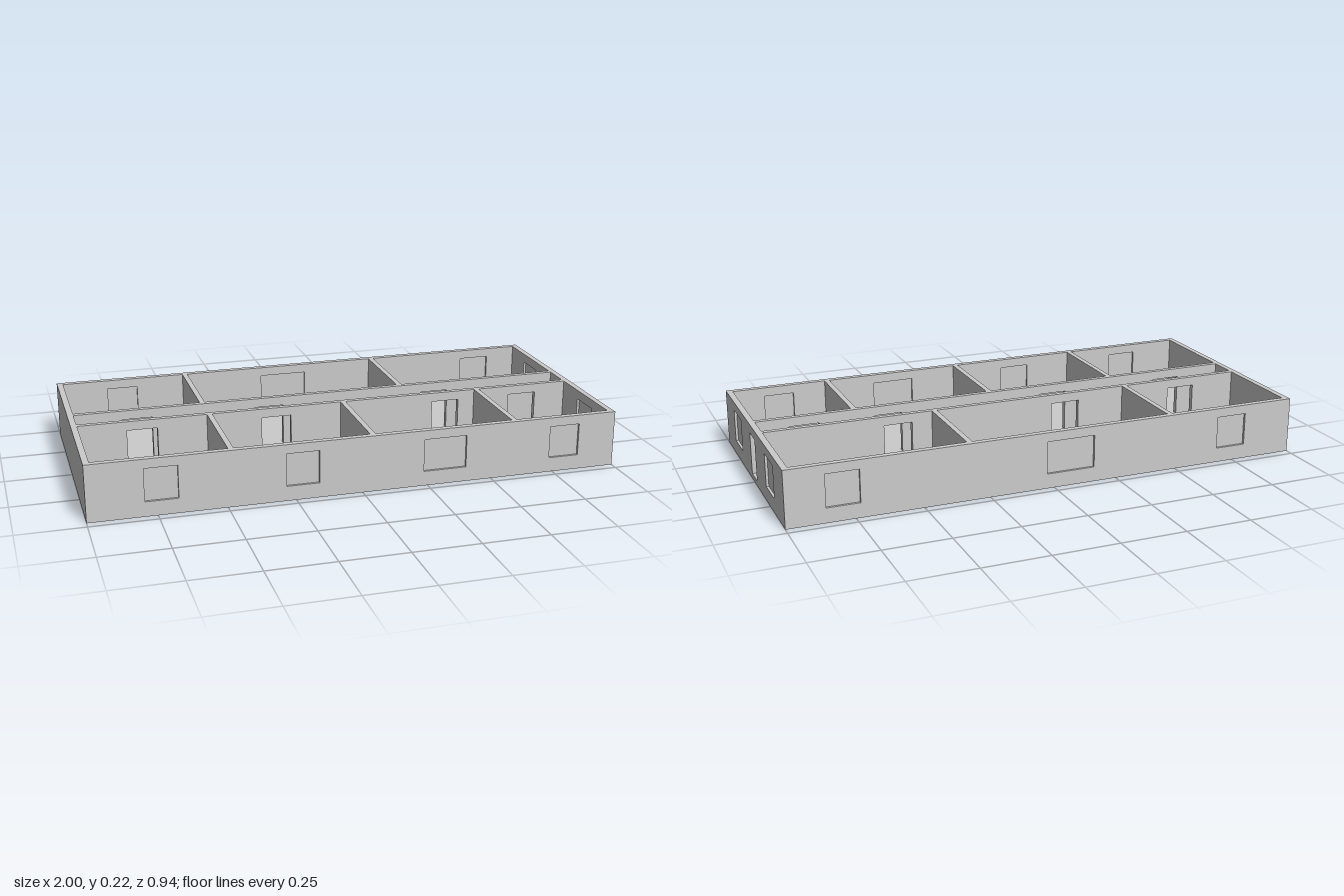
import * as THREE from 'three';

const TOP = 0.215, FLOOR = 0.02, HEAD = 0.18, SILL = 0.056;
const HX = 1, HZ = 0.468, OUTER = 0.023, INNER = 0.02;

export function createModel() {
  const model = new THREE.Group();
  const material = new THREE.MeshStandardMaterial({ color: 0xcccccc, flatShading: true });

  const add = (name, geometry, parent = model) => {
    const mesh = new THREE.Mesh(geometry, material);
    mesh.name = name;
    parent.add(mesh);
    return mesh;
  };

  const rect = (path, a, b, y0, y1) => {
    path.moveTo(a, y0);
    path.lineTo(b, y0);
    path.lineTo(b, y1);
    path.lineTo(a, y1);
    path.closePath();
    return path;
  };

  // A wall running along x or z, centred at `at` on the other axis.
  // Windows get a thin pane in mid-wall; doors are open.
  function wall(name, axis, from, to, at, thickness, base, windows = [], doors = []) {
    const group = new THREE.Group();
    group.name = name;
    const place = (geometry) => {
      if (axis === 'z') geometry.rotateY(-Math.PI / 2).translate(at, 0, 0);
      else geometry.translate(0, 0, at);
      return geometry;
    };
    const shape = rect(new THREE.Shape(), from, to, base, TOP);
    const sillOfDoor = base > 0 ? FLOOR - 0.001 : FLOOR;
    for (const [a, b] of windows) shape.holes.push(rect(new THREE.Path(), a, b, SILL, HEAD));
    for (const [a, b] of doors) shape.holes.push(rect(new THREE.Path(), a, b, sillOfDoor, HEAD));
    const body = new THREE.ExtrudeGeometry(shape, { depth: thickness, bevelEnabled: false });
    add(name + 'Body', place(body.translate(0, 0, -thickness / 2)), group);
    for (const [a, b] of windows) {
      const pane = new THREE.BoxGeometry(b - a, HEAD - SILL, 0.004);
      add('windowPane', place(pane.translate((a + b) / 2, (SILL + HEAD) / 2, 0)), group);
    }
    model.add(group);
  }

  // Floor slab
  const floor = new THREE.BoxGeometry(2 * (HX - OUTER), FLOOR, 2 * (HZ - OUTER));
  add('floor', floor.translate(0, FLOOR / 2, 0));

  // Outer walls
  const faceZ = HZ - OUTER / 2, faceX = HX - OUTER / 2, innerZ = HZ - OUTER, innerX = HX - OUTER;
  wall('frontWall', 'x', -HX, HX, faceZ, OUTER, 0,
    [[-0.795, -0.675], [-0.285, -0.163], [0.235, 0.4], [0.735, 0.853]]);
  wall('backWall', 'x', -HX, HX, -faceZ, OUTER, 0,
    [[-0.8, -0.68], [-0.16, 0.028], [0.732, 0.855]]);
  wall('leftEndWall', 'z', -innerZ, innerZ, faceX, OUTER, 0,
    [[-0.32, -0.197], [0.197, 0.32]], [[-0.039, 0.039]]);
  wall('rightEndWall', 'z', -innerZ, innerZ, -faceX, OUTER, 0);

  // Corridor walls with room doors
  const doors = [[-0.795, -0.68], [-0.28, -0.165], [0.41, 0.52]];
  const corridorFront = 0.06, corridorBack = -0.065, base = 0.01;
  wall('frontCorridorWall', 'x', -innerX, innerX, corridorFront, INNER, base, [], [...doors, [0.735, 0.85]]);
  wall('backCorridorWall', 'x', -innerX, innerX, corridorBack, INNER, base, [], doors);

  // Partitions between rooms
  for (const x of [-0.482, 0.043, 0.596])
    wall('frontPartition', 'z', corridorFront + INNER / 2, innerZ, x, INNER, base);
  for (const x of [-0.482, 0.321])
    wall('backPartition', 'z', -innerZ, corridorBack - INNER / 2, x, INNER, base);

  return model;
}
